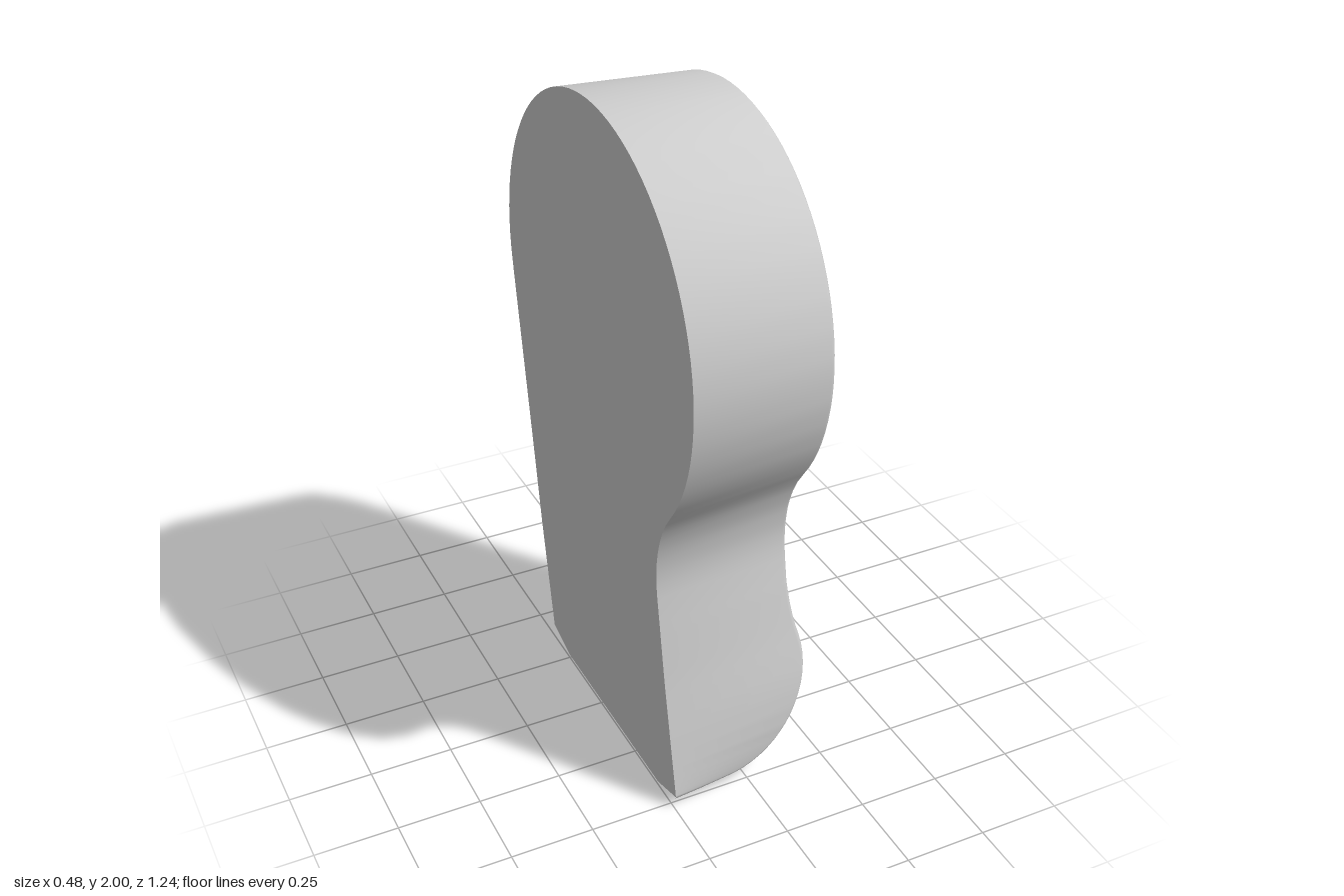
import * as THREE from 'three';
import { toCreasedNormals } from 'three/addons/utils/BufferGeometryUtils.js';

const BACK = -0.245, R = 0.62, CY = 1.38, SLOPE = Math.tan(Math.PI / 18);

// Half outlines of the body: z of each side at height y
function leftZ(y) {
  if (y > 0.993) return Math.sqrt(Math.max(0, R * R - (y - CY) ** 2));
  if (y > 0.674) return 0.797 - Math.sqrt(0.16 - (y - 0.743) ** 2);
  return 0.515 - SLOPE * (y - 0.04);
}
function rightZ(y) {
  if (y > 1.272) return -Math.sqrt(Math.max(0, R * R - (y - CY) ** 2));
  return -0.611 + SLOPE * (1.272 - y);
}

// Face profile, from the back of the foot round the toe and up to the crown
function faceProfile() {
  const pts = [[BACK, 0], [-0.16, 0.004]];
  for (let a = -88; a <= 14; a += 6) {
    const t = a * Math.PI / 180;
    pts.push([-0.085 + 0.325 * Math.cos(t), 0.335 + 0.325 * Math.sin(t)]);
  }
  const blend = new THREE.QuadraticBezierCurve(
    new THREE.Vector2(0.23, 0.414), new THREE.Vector2(0.205, 0.5), new THREE.Vector2(0.2, 0.6));
  blend.getPoints(5).slice(1).forEach(p => pts.push([p.x, p.y]));
  for (let y = 0.674; y < 0.98; y += 0.04) pts.push([0.2, y]);
  for (let a = -38; a <= 90; a += 4) pts.push([0.2, CY + R * Math.sin(a * Math.PI / 180)]);
  return pts;
}

function bodyGeometry() {
  const prof = faceProfile(), last = prof.length - 1;
  const rows = prof.map(([x, y], i) => {
    const p = prof[Math.max(0, i - 1)], q = prof[Math.min(last, i + 1)];
    const dx = q[0] - p[0], dy = q[1] - p[1], l = Math.hypot(dx, dy);
    return { x, y, nx: dy / l, ny: -dx / l };
  });
  // Loop up the left side, over the crown and down the right side
  const loop = rows.map(r => ({ ...r, z: leftZ(r.y) }));
  for (let i = last - 1; i >= 0; i--) loop.push({ ...rows[i], z: rightZ(rows[i].y) });
  const n = loop.length;
  loop.forEach((p, j) => {
    if (p.y < 0.6) { p.iz = j < n / 2 ? -1 : 1; p.iy = 0; return; }
    const a = loop[j - 1], b = loop[j + 1];
    const dz = b.z - a.z, dy = b.y - a.y, l = Math.hypot(dz, dy);
    p.iz = -dy / l; p.iy = dz / l;
  });
  // A ring lies d inside the outline and c below the face; the wall has a slight draft
  const ring = (d, c) => loop.map(p => {
    const x = Math.max(BACK, p.x - p.nx * c), inset = d + 0.045 * (x - BACK);
    return [x, p.y - p.ny * c + p.iy * inset, p.z + p.iz * inset];
  });
  const rings = [[0, 0.038], [0.003, 0.031], [0.01, 0.025], [0.06, 0.014], [0.12, 0]]
    .map(([d, c]) => ring(d, c));
  const back = loop.map(p => [BACK, p.y - p.ny * 0.038, p.z]);

  const pos = [], u = new THREE.Vector3(), v = new THREE.Vector3();
  const tri = (a, b, c) => {
    u.set(b[0] - a[0], b[1] - a[1], b[2] - a[2]);
    v.set(c[0] - a[0], c[1] - a[1], c[2] - a[2]);
    if (u.cross(v).length() > 1e-9) pos.push(...a, ...b, ...c);
  };
  const quad = (a, b, c, d) => { tri(a, b, c); tri(a, c, d); };

  // Side wall, rounded rim and shallow bevel
  const skins = [back, ...rings];
  for (let k = 0; k < skins.length - 1; k++) {
    const A = skins[k], B = skins[k + 1];
    for (let j = 0; j < n - 1; j++) quad(A[j], B[j], B[j + 1], A[j + 1]);
  }
  // Face and flat back, in strips across the body
  const face = rings[rings.length - 1];
  for (let j = 0; j < last; j++) {
    quad(face[j], face[n - 1 - j], face[n - 2 - j], face[j + 1]);
    quad(back[j + 1], back[n - 2 - j], back[n - 1 - j], back[j]);
  }
  // Sliver of the back under the foot
  quad(rings[0][n - 1], face[n - 1], face[0], rings[0][0]);

  const g = new THREE.BufferGeometry();
  g.setAttribute('position', new THREE.Float32BufferAttribute(pos, 3));
  return toCreasedNormals(g, 0.6);
}

export function createModel() {
  const group = new THREE.Group();
  group.name = 'roundedPaddle';
  const body = new THREE.Mesh(bodyGeometry(), new THREE.MeshStandardMaterial({ color: 0xcccccc }));
  body.name = 'body';
  group.add(body);
  return group;
}
